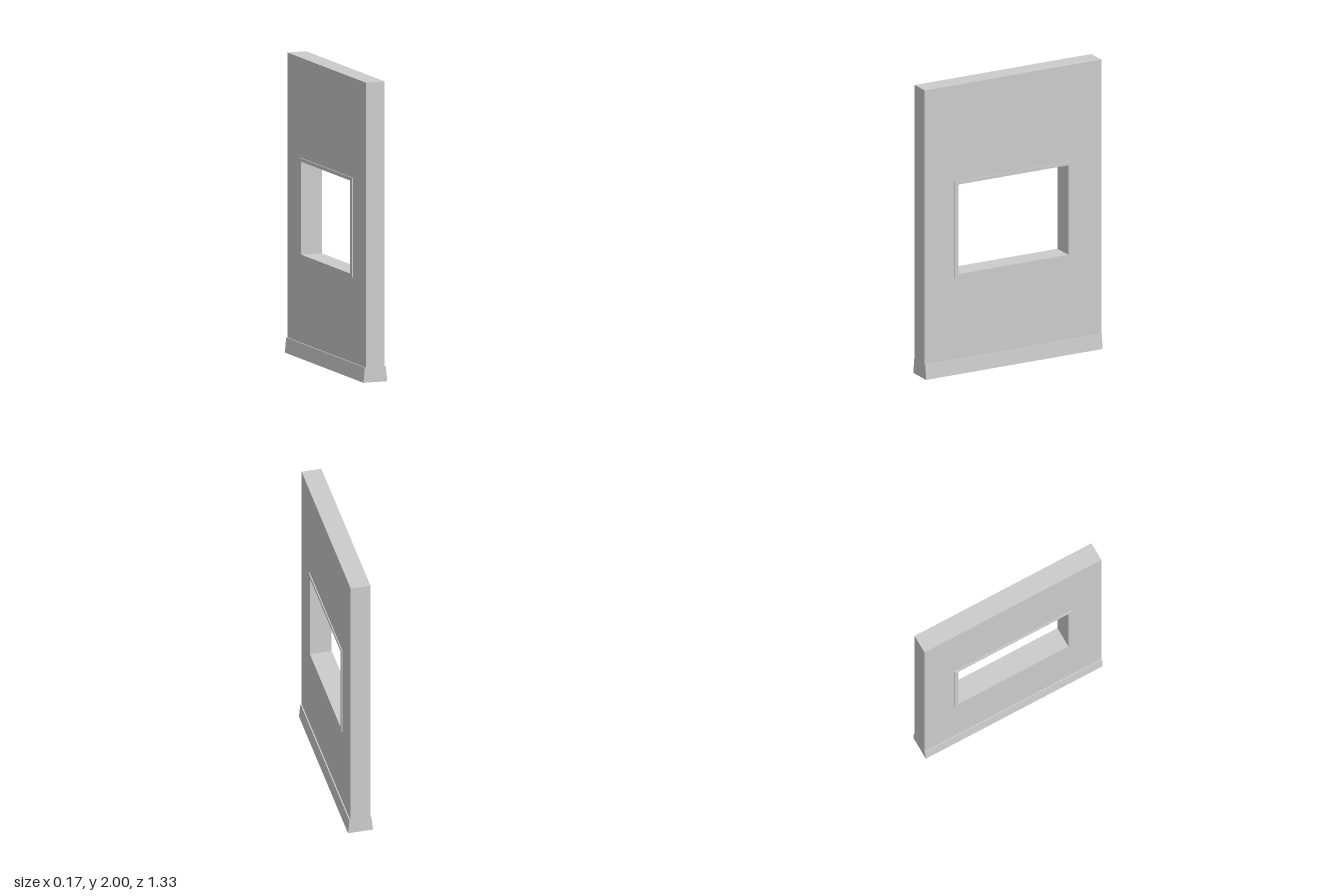
import * as THREE from 'three';

const WIDTH = 1.333, HEIGHT = 2, WALL = 0.134;
const BASE_H = 0.1, BASE_BOTTOM = 0.085, BASE_TOP = 0.075;
const FRAME = { w: 0.888, y0: 0.667, y1: 1.333, depth: 0.148 };
const OPENING = { w: 0.828, y0: 0.69, y1: 1.31 };

// Rectangle centred on x, between two heights
function rect(w, y0, y1, Type = THREE.Shape) {
  return new Type([[-w / 2, y0], [w / 2, y0], [w / 2, y1], [-w / 2, y1]]
    .map(([x, y]) => new THREE.Vector2(x, y)));
}

// Extrudes a shape centred on z = 0
function extrude(name, shape, depth, material) {
  const geometry = new THREE.ExtrudeGeometry(shape, { depth, bevelEnabled: false });
  geometry.translate(0, 0, -depth / 2);
  const mesh = new THREE.Mesh(geometry, material);
  mesh.name = name;
  return mesh;
}

export function createModel() {
  const group = new THREE.Group();
  group.name = 'windowWall';
  const material = new THREE.MeshStandardMaterial({ color: 0xcccccc });

  // Wall panel with a hole that takes the frame
  const wallShape = rect(WIDTH, BASE_H, HEIGHT);
  wallShape.holes.push(rect(FRAME.w, FRAME.y0, FRAME.y1, THREE.Path));
  const wall = extrude('wallPanel', wallShape, WALL, material);
  wall.rotation.y = Math.PI / 2;

  // Window frame, slightly proud of both wall faces
  const frameShape = rect(FRAME.w, FRAME.y0, FRAME.y1);
  frameShape.holes.push(rect(OPENING.w, OPENING.y0, OPENING.y1, THREE.Path));
  const frame = extrude('windowFrame', frameShape, FRAME.depth, material);
  frame.rotation.y = Math.PI / 2;

  // Tapered skirting along the foot of the wall
  const baseShape = new THREE.Shape([
    new THREE.Vector2(-BASE_BOTTOM, 0), new THREE.Vector2(BASE_BOTTOM, 0),
    new THREE.Vector2(BASE_TOP, BASE_H), new THREE.Vector2(-BASE_TOP, BASE_H),
  ]);
  const base = extrude('skirting', baseShape, WIDTH, material);

  group.add(wall, frame, base);
  return group;
}
